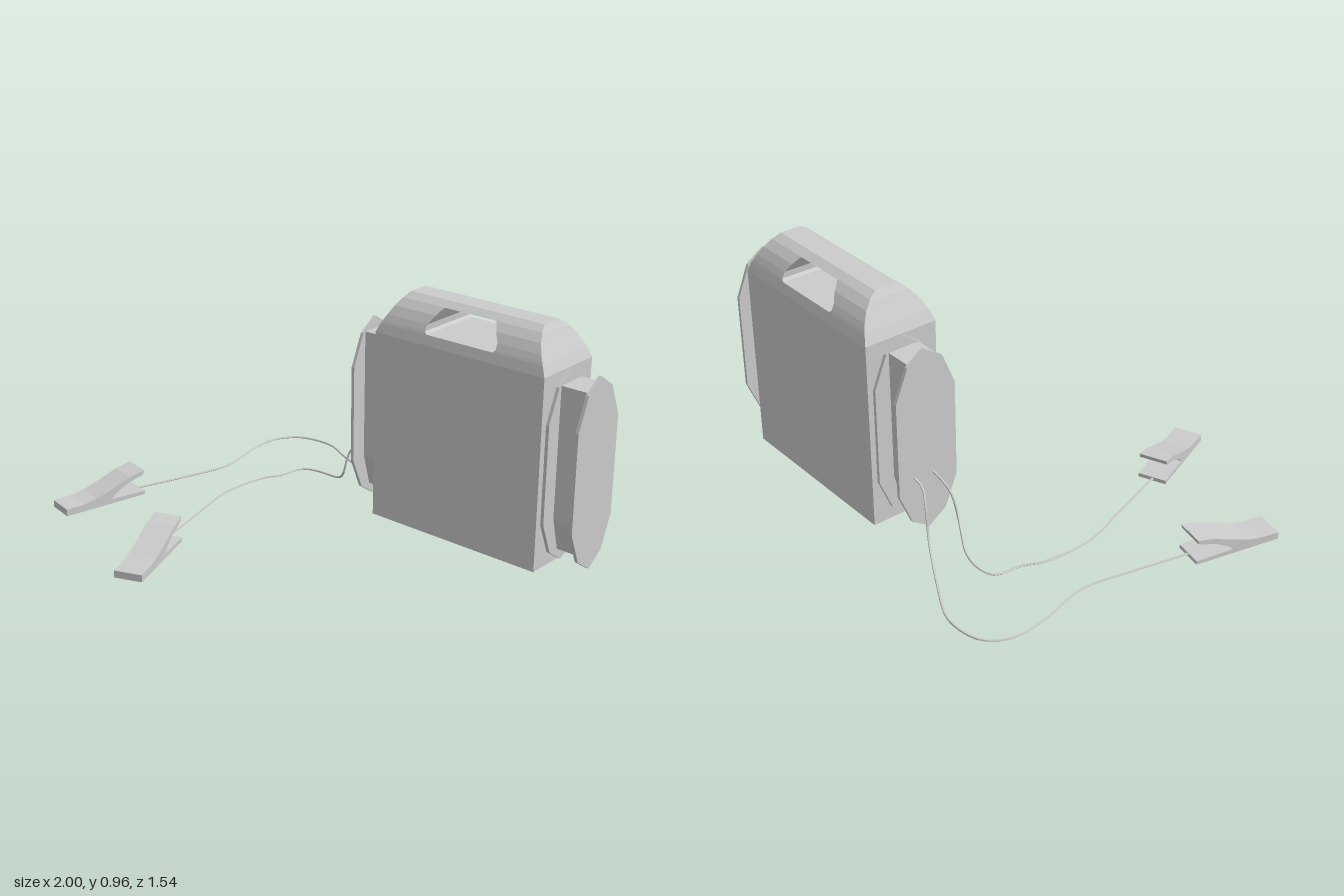
import * as THREE from 'three';

const grey = new THREE.MeshStandardMaterial({ color: 0xcccccc, flatShading: true, side: THREE.DoubleSide });
const CX = 0.452, CZ = -0.482; // centre of the case

function add(parent, geometry, name) {
  const mesh = new THREE.Mesh(geometry, grey);
  mesh.name = name;
  parent.add(mesh);
  return mesh;
}

// Extrudes a (z, y) outline along x, from x0 to x1
function slab(points, x0, x1) {
  const shape = new THREE.Shape(points.map(([z, y]) => new THREE.Vector2(z, y)));
  const geo = new THREE.ExtrudeGeometry(shape, { depth: x1 - x0, bevelEnabled: false });
  geo.rotateY(-Math.PI / 2);
  geo.translate(x1, 0, 0);
  return geo;
}

// Mirrors one half of an outline (top to bottom) about z = 0
const mirrored = (half) => [
  ...half,
  ...half.filter(([z]) => z > 0).reverse().map(([z, y]) => [-z, y]),
];

// Tapered dome stacked from horizontal bands, with a grip slot running through it
function handleGeometry() {
  // y, half depth, half length, half slot width
  const levels = [
    [0.805, 0.16, 0.4, 0],
    [0.845, 0.148, 0.382, 0.155],
    [0.855, 0.144, 0.377, 0.167],
    [0.88, 0.132, 0.363, 0.166],
    [0.915, 0.11, 0.344, 0.143],
    [0.938, 0.087, 0.332, 0.128],
    [0.945, 0.08, 0.327, 0.118],
    [0.966, 0.046, 0.314, 0],
  ];
  const pos = [];
  const quad = (a, b, c, d) => pos.push(...a, ...b, ...c, ...a, ...c, ...d);
  for (let i = 0; i < levels.length - 1; i++) {
    const [y0, z0, x0, h0] = levels[i];
    const [y1, z1, x1, h1] = levels[i + 1];
    const open = h0 > 0 && h1 > 0;
    const g0 = open ? h0 : 0, g1 = open ? h1 : 0;
    // Front and back, each half turned around the centre
    for (const s of [1, -1]) {
      quad([s * g0, y0, s * z0], [s * x0, y0, s * z0], [s * x1, y1, s * z1], [s * g1, y1, s * z1]);
      quad([-s * x0, y0, s * z0], [-s * g0, y0, s * z0], [-s * g1, y1, s * z1], [-s * x1, y1, s * z1]);
      // Sloping end
      quad([s * x0, y0, s * z0], [s * x0, y0, -s * z0], [s * x1, y1, -s * z1], [s * x1, y1, s * z1]);
      // Slot side wall
      if (open) quad([s * h0, y0, -s * z0], [s * h0, y0, s * z0], [s * h1, y1, s * z1], [s * h1, y1, -s * z1]);
    }
  }
  // Slot floor, slot ceiling and top face
  const flat = (y, x, z, up) =>
    quad([-x, y, up * z], [x, y, up * z], [x, y, -up * z], [-x, y, -up * z]);
  flat(0.845, 0.155, 0.148, 1);
  flat(0.945, 0.118, 0.08, -1);
  flat(0.966, 0.314, 0.046, 1);
  const geo = new THREE.BufferGeometry();
  geo.setAttribute('position', new THREE.Float32BufferAttribute(pos, 3));
  geo.computeVertexNormals();
  return geo;
}

// Cable reel: two long faceted flanges around a narrow core
function reel(name, x0, x1) {
  const group = new THREE.Group();
  group.name = name;
  group.position.z = CZ;
  const flange = mirrored([[0, 0.805], [0.08, 0.75], [0.136, 0.615], [0.136, 0.205], [0.08, 0.07], [0, 0.015]]);
  const core = mirrored([[0.068, 0.755], [0.068, 0.21], [0.03, 0.07]]);
  add(group, slab(flange, x0, x0 + 0.014), 'rightFlange');
  add(group, slab(flange, x1 - 0.014, x1), 'leftFlange');
  add(group, slab(core, x0 + 0.014, x1 - 0.014), 'reelCore');
  return group;
}

// Clamp with a flat lower jaw and a raised, curved lever; z = 0 is the cable end
function clamp(name, x, z, dx, dz) {
  const group = new THREE.Group();
  group.name = name;
  group.position.set(x, 0, z);
  group.rotation.y = Math.atan2(dx, dz);
  const w = 0.059;
  const jaw = [[0, 0.008], [0.37, 0.004], [0.37, 0.02], [0.17, 0.026], [0, 0.024]];
  const lever = [
    [0, 0.118], [0.07, 0.104], [0.16, 0.07], [0.23, 0.046], [0.29, 0.036], [0.37, 0.034],
    [0.37, 0.02], [0.16, 0.026], [0.14, 0.046], [0.08, 0.078], [0.005, 0.1],
  ];
  add(group, slab(jaw, -w, w), 'lowerJaw');
  add(group, slab(lever, -w, w), 'clampLever');
  return group;
}

function cable(points, name, parent) {
  const path = new THREE.CatmullRomCurve3(points.map((p) => new THREE.Vector3(...p)), false, 'centripetal');
  add(parent, new THREE.TubeGeometry(path, 48, 0.005, 5), name);
}

export function createModel() {
  const model = new THREE.Group();
  model.name = 'jumpStarter';

  // Case and carrying handle
  const body = add(model, new THREE.BoxGeometry(0.8, 0.793, 0.32), 'caseBody');
  body.position.set(CX, 0.4085, CZ);
  const handle = add(model, handleGeometry(), 'carryHandle');
  handle.position.set(CX, 0, CZ);

  // Reels on both sides
  model.add(reel('rightReel', -0.09, 0.052));
  model.add(reel('leftReel', 0.855, 0.997));

  // Cables running from the right reel along the ground
  cable([
    [-0.085, 0.265, -0.545], [-0.135, 0.245, -0.542], [-0.185, 0.19, -0.568], [-0.22, 0.08, -0.585],
    [-0.27, 0.04, -0.612], [-0.41, 0.015, -0.69], [-0.56, 0.008, -0.765], [-0.66, 0.006, -0.77],
    [-0.74, 0.007, -0.745], [-0.785, 0.008, -0.69], [-0.805, 0.01, -0.625], [-0.795, 0.01, -0.5],
    [-0.752, 0.01, -0.285], [-0.8, 0.013, -0.065], [-0.86, 0.018, 0.16],
  ], 'outerCable', model);
  cable([
    [-0.085, 0.262, -0.46], [-0.13, 0.24, -0.45], [-0.17, 0.19, -0.435], [-0.2, 0.08, -0.425],
    [-0.25, 0.045, -0.45], [-0.325, 0.02, -0.488], [-0.415, 0.01, -0.502], [-0.48, 0.008, -0.48],
    [-0.505, 0.008, -0.36], [-0.538, 0.009, -0.295], [-0.556, 0.01, -0.08], [-0.49, 0.014, 0.155],
    [-0.415, 0.018, 0.4],
  ], 'innerCable', model);

  // Clamps
  model.add(clamp('outerClamp', -0.861, 0.153, -0.22, 0.975));
  model.add(clamp('innerClamp', -0.412, 0.4, 0.37, 0.93));
  return model;
}
